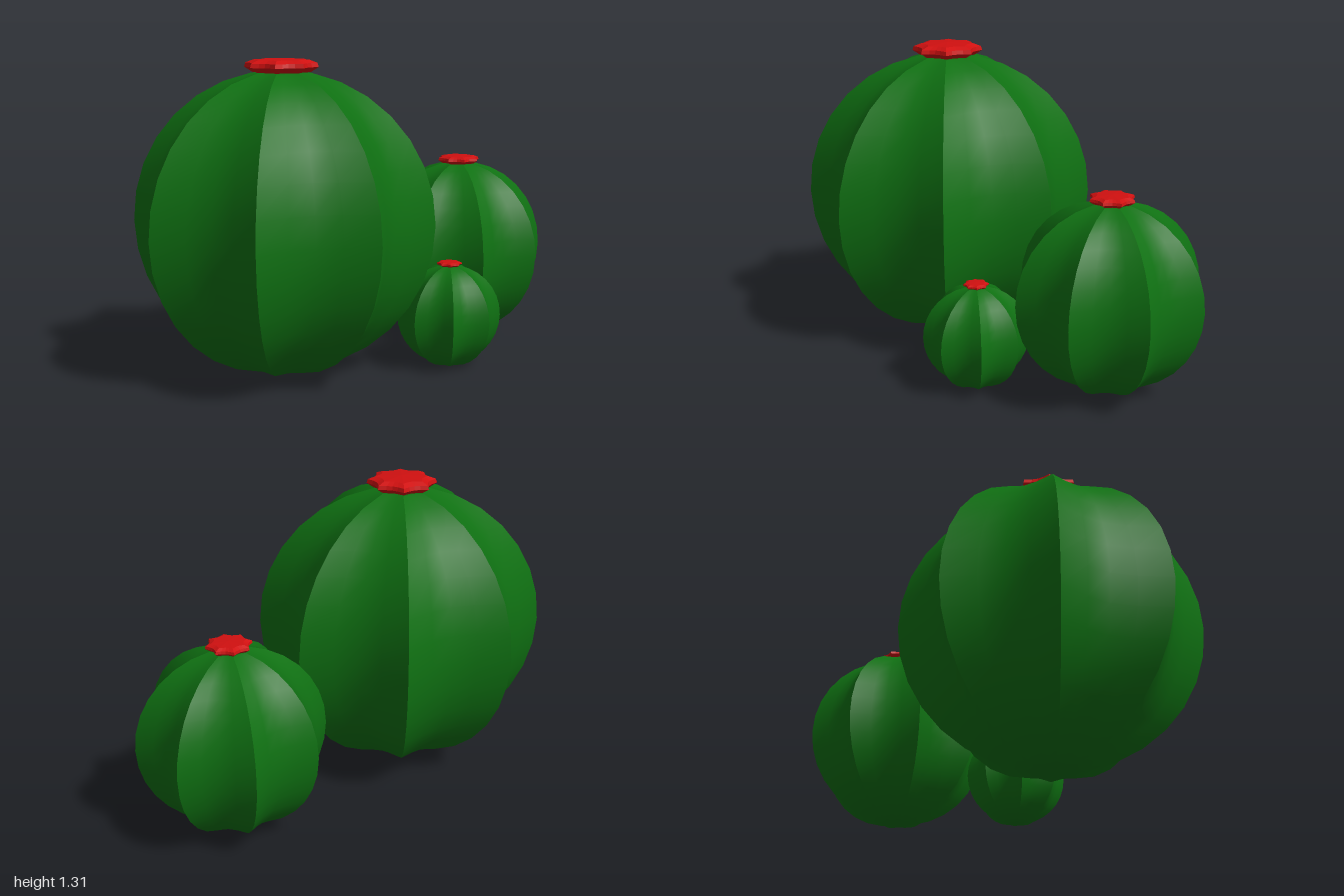
import * as THREE from 'three';
import { mergeGeometries } from 'three/addons/utils/BufferGeometryUtils.js';

const RIBS = 8;
// radius factor across one gully, from rib to rib
const GULLY = [1, 0.865, 0.82, 0.865, 1];

// Sweeps a [radius, y] profile (bottom to top) round one gully; panels meet in sharp ribs.
function ribbedGeometry(profile) {
  const panels = [];
  const cols = GULLY.length;
  for (let k = 0; k < RIBS; k++) {
    const pos = [], idx = [];
    for (const [r, y] of profile) {
      GULLY.forEach((f, j) => {
        const a = ((k + j / (cols - 1)) / RIBS) * Math.PI * 2;
        pos.push(r * f * Math.cos(a), y, r * f * Math.sin(a));
      });
    }
    for (let i = 0; i < profile.length - 1; i++) {
      for (let j = 0; j < cols - 1; j++) {
        const a = i * cols + j, b = a + 1, c = a + cols, d = c + 1;
        idx.push(a, c, b, b, c, d);
      }
    }
    const g = new THREE.BufferGeometry();
    g.setAttribute('position', new THREE.Float32BufferAttribute(pos, 3));
    g.setIndex(idx);
    g.computeVertexNormals();
    panels.push(g);
  }
  return mergeGeometries(panels);
}

// Unit ball profile with small flat ends
const ROWS = 16;
const ball = [];
for (let i = 1; i < ROWS; i++) {
  const t = (i / ROWS) * Math.PI;
  ball.push([Math.sin(t), -Math.cos(t)]);
}
const END = ball[ball.length - 1];

// Flower profile, in units of the ball radius, seated on the upper flat end
const flower = [
  [0, 0.98], [0.19, 0.985], [0.242, 1.018], [0.234, 1.045], [0.18, 1.065], [0, 1.073],
];

export function createModel() {
  const group = new THREE.Group();
  const green = new THREE.MeshStandardMaterial({ color: 0x0f7012 });
  const red = new THREE.MeshStandardMaterial({ color: 0xd01010, flatShading: true });

  const bodyGeo = mergeGeometries([
    ribbedGeometry(ball),
    ribbedGeometry([[0, -END[1]], [END[0], -END[1]]]), // underside
    ribbedGeometry([END, [0, END[1]]]), // crown
  ]);
  const flowerGeo = ribbedGeometry(flower);

  function addCactus(name, radius, x, y, z, turn) {
    const cactus = new THREE.Group();
    cactus.name = name;
    const body = new THREE.Mesh(bodyGeo, green);
    body.name = 'ribbedBody';
    const bloom = new THREE.Mesh(flowerGeo, red);
    bloom.name = 'flower';
    cactus.add(body, bloom);
    cactus.scale.setScalar(radius);
    cactus.position.set(x, y, z);
    cactus.rotation.y = turn;
    group.add(cactus);
  }

  addCactus('largeCactus', 0.632, -0.368, 0.632, 0, 0);
  addCactus('mediumCactus', 0.4, 0.613, 0.404, 0.035, 0.297);
  addCactus('smallCactus', 0.219, 0.212, 0.219, 0.395, 0.105);
  return group;
}
